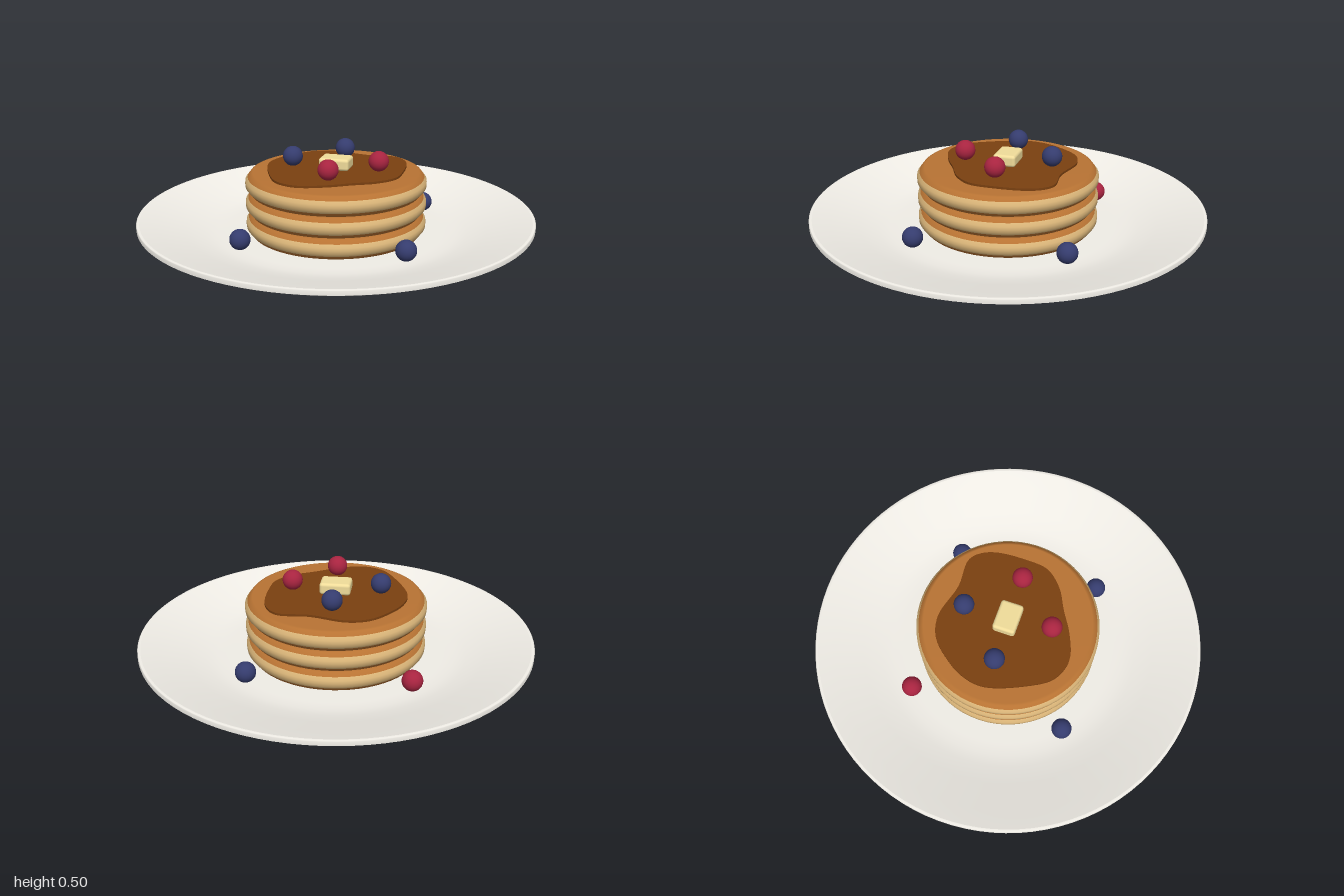
import * as THREE from 'three';
import { RoundedBoxGeometry } from 'three/addons/geometries/RoundedBoxGeometry.js';

const material = (color) => new THREE.MeshStandardMaterial({ color });
const PLATE = material(0xf0ede6);
const CRUST = material(0xb87333);
const BATTER = material(0xd9b478);
const SYRUP = material(0x7a4010);
const BUTTER = material(0xf0dc9a);
const BLUE = material(0x353c6e);
const RED = material(0xa82440);

function part(name, geometry, mat, x = 0, y = 0, z = 0) {
  const mesh = new THREE.Mesh(geometry, mat);
  mesh.name = name;
  mesh.position.set(x, y, z);
  return mesh;
}

const lathe = (points, segments = 64) =>
  new THREE.LatheGeometry(points.map(([r, y]) => new THREE.Vector2(r, y)), segments);

// One pancake: browned faces with a paler rounded edge between them
function pancake(y) {
  const group = new THREE.Group();
  group.name = 'pancake';
  group.position.y = y;
  group.add(
    part('pancakeBottom', lathe([[0, 0], [0.42, 0], [0.432, 0.004], [0.446, 0.022]]), CRUST),
    part('pancakeEdge', lathe([[0.446, 0.022], [0.458, 0.037], [0.459, 0.053], [0.458, 0.068], [0.446, 0.083]]), BATTER),
    part('pancakeTop', lathe([[0.446, 0.083], [0.432, 0.101], [0.42, 0.105], [0, 0.105]]), CRUST),
  );
  return group;
}

// Thin puddle with a wavy outline, given as [x, z]
function syrup() {
  const outline = [
    [-0.36, 0], [-0.345, -0.11], [-0.29, -0.21], [-0.2, -0.305], [-0.09, -0.335],
    [0.09, -0.295], [0.25, -0.295], [0.32, -0.21], [0.34, 0], [0.325, 0.1],
    [0.25, 0.185], [0.14, 0.245], [0.03, 0.31], [-0.1, 0.35], [-0.21, 0.31], [-0.29, 0.19],
  ];
  const curve = new THREE.CatmullRomCurve3(
    outline.map(([x, z]) => new THREE.Vector3(x, -z, 0)), true);
  const shape = new THREE.Shape(curve.getPoints(80).slice(0, -1).map((p) => new THREE.Vector2(p.x, p.y)));
  const geometry = new THREE.ExtrudeGeometry(shape, { depth: 0.011, bevelEnabled: false });
  geometry.rotateX(-Math.PI / 2);
  return part('syrup', geometry, SYRUP, 0, 0.386, 0);
}

export function createModel() {
  const model = new THREE.Group();
  model.name = 'pancakePlate';

  // Plate: underside with foot, rim lip and dished top
  model.add(
    part('plateUnderside', lathe([
      [0, 0], [0.63, 0], [0.655, 0.003], [0.68, 0.018], [0.705, 0.041],
      [0.74, 0.055], [0.86, 0.099], [0.98, 0.143], [1, 0.153],
    ], 96), PLATE),
    part('plateLip', lathe([[1, 0.153], [1, 0.172], [0.996, 0.175], [0.985, 0.175]], 96), PLATE),
    part('plateTop', lathe([
      [0.985, 0.175], [0.9, 0.152], [0.76, 0.11], [0.67, 0.086], [0.61, 0.077], [0.55, 0.075], [0, 0.075],
    ], 96), PLATE),
  );

  // Stack of three
  for (let i = 0; i < 3; i++) model.add(pancake(0.07 + i * 0.105));

  model.add(syrup());
  model.add(part('butter', new RoundedBoxGeometry(0.155, 0.06, 0.115, 3, 0.015), BUTTER, 0, 0.426, 0));

  // Berries on the syrup, then berries on the plate
  const berryGeometry = new THREE.SphereGeometry(0.051, 24, 16);
  const berries = [
    [-0.01, 0.447, -0.225, BLUE], [-0.225, 0.447, 0.01, BLUE],
    [0.22, 0.447, 0, RED], [0.02, 0.447, 0.22, RED],
    [-0.41, 0.126, -0.38, RED], [0.385, 0.126, -0.4, BLUE],
    [-0.365, 0.126, 0.415, BLUE], [0.43, 0.126, 0.35, BLUE],
  ];
  for (const [x, y, z, mat] of berries) {
    model.add(part(mat === RED ? 'redBerry' : 'blueBerry', berryGeometry, mat, x, y, z));
  }
  return model;
}
